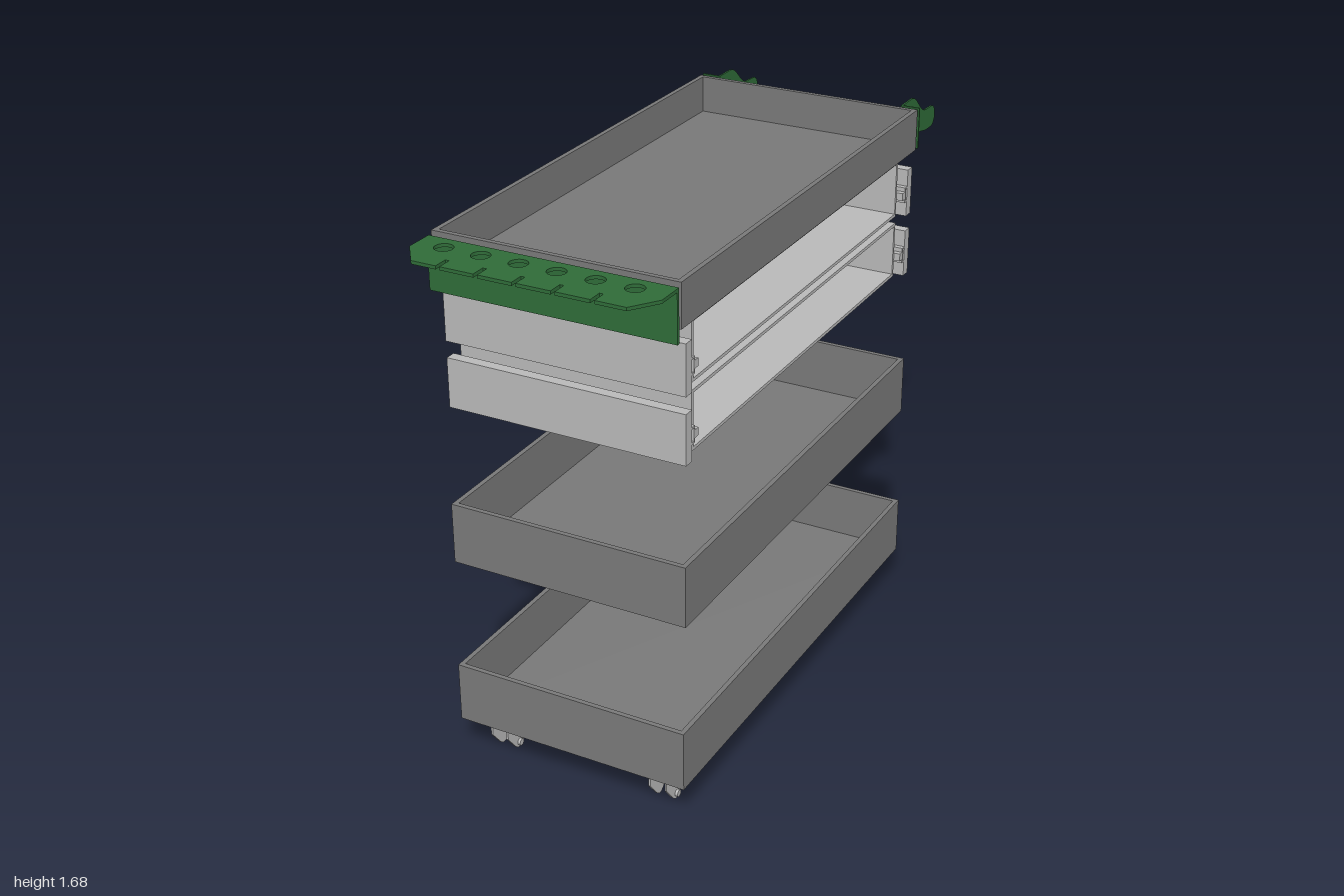
import * as THREE from 'three';

const mat = (name, color) => {
  const m = new THREE.MeshStandardMaterial({ color });
  m.name = name;
  return m;
};

export function createModel() {
  const root = new THREE.Group();
  const darkGrey = mat('darkGreySteel', 0x787878);
  const lightGrey = mat('lightGreySteel', 0xb8b8b8);
  const green = mat('greenSteel', 0x2f6b38);

  const add = (parent, name, geo, material) => {
    const mesh = new THREE.Mesh(geo, material);
    mesh.name = name;
    parent.add(mesh);
    return mesh;
  };
  const group = (name, parent = root) => {
    const g = new THREE.Group();
    g.name = name;
    parent.add(g);
    return g;
  };
  // Box given by its lower and upper corner
  const block = (parent, name, x0, x1, y0, y1, z0, z1, material) =>
    add(parent, name, new THREE.BoxGeometry(x1 - x0, y1 - y0, z1 - z0), material)
      .position.set((x0 + x1) / 2, (y0 + y1) / 2, (z0 + z1) / 2);
  // Plate with a side outline of [z, y] points, spanning x to x + t
  const sidePlate = (parent, name, outline, x, t, material) => {
    const geo = new THREE.ExtrudeGeometry(outline, { depth: t, bevelEnabled: false, curveSegments: 8 });
    geo.rotateY(-Math.PI / 2).translate(x + t, 0, 0);
    return add(parent, name, geo, material);
  };

  // Open trays
  const X0 = -0.38, X1 = 0.375, W = 0.015;
  const tray = (name, y0, y1, z0, z1) => {
    const g = group(name);
    block(g, 'floor', X0, X1, y0, y0 + W, z0, z1, darkGrey);
    block(g, 'rightWall', X0, X0 + W, y0 + W, y1, z0, z1, darkGrey);
    block(g, 'leftWall', X1 - W, X1, y0 + W, y1, z0, z1, darkGrey);
    block(g, 'frontWall', X0 + W, X1 - W, y0 + W, y1, z1 - W, z1, darkGrey);
    block(g, 'backWall', X0 + W, X1 - W, y0 + W, y1, z0, z0 + W, darkGrey);
  };
  tray('bottomTray', 0.125, 0.315, -0.71, 0.82);
  tray('middleTray', 0.66, 0.85, -0.695, 0.805);
  tray('topTray', 1.56, 1.69, -0.71, 0.82);

  // Drawer boxes open toward +x, each with a panel and rail at both ends
  for (const [name, y0, y1] of [['lowerDrawer', 1.165, 1.345], ['upperDrawer', 1.367, 1.55]]) {
    const g = group(name);
    const a = -0.37, b = 0.355, t = 0.01, z0 = -0.62, z1 = 0.73;
    block(g, 'sideWall', a, a + t, y0, y1, z0, z1, lightGrey);
    block(g, 'floor', a + t, b, y0, y0 + t, z0, z1, lightGrey);
    block(g, 'ceiling', a + t, b, y1 - t, y1, z0, z1, lightGrey);
    block(g, 'frontEnd', a + t, b, y0 + t, y1 - t, z1 - t, z1, lightGrey);
    block(g, 'backEnd', a + t, b, y0 + t, y1 - t, z0, z0 + t, lightGrey);
    const yc = y0 + 0.066;
    for (const [end, face, s] of [['front', z1, 1], ['back', z0, -1]]) {
      const span = (part, p, q, lo, hi) => {
        const u = face + s * p, v = face + s * q;
        block(g, end + part, -0.37, 0.375, lo, hi, Math.min(u, v), Math.max(u, v), lightGrey);
      };
      span('Panel', 0.035, 0.068, y0 - 0.008, y0 + 0.144);
      span('RailWeb', 0.018, 0.024, yc - 0.025, yc + 0.025);
      span('RailTop', 0.018, 0.035, yc + 0.02, yc + 0.025);
      span('RailBottom', 0.018, 0.035, yc - 0.025, yc - 0.02);
      span('RailSpacer', 0, 0.018, yc - 0.012, yc + 0.012);
    }
  }

  // Front tool rack: upright plate and toothed, drilled shelf
  const rack = group('toolRack');
  block(rack, 'rackUpright', X0, X1, 1.525, 1.67, 0.832, 0.842, green);
  const shelf = new THREE.Shape();
  shelf.moveTo(X0, 0.832);
  shelf.lineTo(X1, 0.832);
  shelf.lineTo(X1, 0.92);
  shelf.lineTo(0.32, 1.0);
  for (let i = 4; i >= 0; i--) {
    const c = -0.2375 + i * 0.115;
    shelf.lineTo(c + 0.006, 1.0);
    shelf.lineTo(c + 0.006, 0.955);
    shelf.lineTo(c - 0.006, 0.955);
    shelf.lineTo(c - 0.006, 1.0);
  }
  shelf.lineTo(-0.32, 1.0);
  shelf.lineTo(X0, 0.92);
  shelf.closePath();
  for (let i = 0; i < 6; i++) {
    const hole = new THREE.Path();
    hole.absarc(-0.295 + i * 0.115, 0.886, 0.027, 0, Math.PI * 2, true);
    shelf.holes.push(hole);
  }
  const shelfGeo = new THREE.ExtrudeGeometry(shelf, { depth: 0.01, bevelEnabled: false, curveSegments: 16 });
  shelfGeo.rotateX(Math.PI / 2);
  add(rack, 'rackShelf', shelfGeo, green).position.y = 1.68;

  // Rear handles: curved arm plates with mounting flanges
  const arm = new THREE.Shape();
  arm.moveTo(-0.725, 1.56);
  arm.lineTo(-0.725, 1.69);
  arm.lineTo(-0.805, 1.69);
  arm.bezierCurveTo(-0.85, 1.685, -0.87, 1.625, -0.92, 1.62);
  arm.lineTo(-0.975, 1.618);
  arm.bezierCurveTo(-1.008, 1.61, -1.008, 1.555, -0.975, 1.55);
  arm.lineTo(-0.935, 1.55);
  arm.bezierCurveTo(-0.91, 1.55, -0.9, 1.56, -0.86, 1.56);
  arm.closePath();
  for (const [name, x, f0, f1] of [['leftHandle', 0.313, 0.313, 0.375], ['rightHandle', -0.325, -0.38, -0.319]]) {
    const g = group(name);
    sidePlate(g, 'handleArm', arm, x, 0.006, green);
    block(g, 'handleFlange', f0, f1, 1.56, 1.69, -0.731, -0.724, green);
  }

  // Caster forks: tapered cheeks, top plate, axle bolts; rear ones have a brake pedal
  const cheek = new THREE.Shape();
  cheek.moveTo(-0.06, 0.11);
  cheek.lineTo(-0.06, 0.07);
  cheek.lineTo(-0.022, 0.022);
  cheek.quadraticCurveTo(0, -0.004, 0.022, 0.022);
  cheek.lineTo(0.06, 0.07);
  cheek.lineTo(0.06, 0.11);
  cheek.closePath();
  for (const sx of [1, -1]) {
    for (const [end, z] of [['front', 0.725], ['rear', -0.635]]) {
      const g = group(end + (sx > 0 ? 'Left' : 'Right') + 'Caster');
      g.position.set(sx * 0.27, 0, z);
      for (const s of [1, -1]) {
        sidePlate(g, 'forkCheek', cheek, s * 0.027 - 0.003, 0.006, lightGrey);
        const bolt = add(g, 'axleBolt', new THREE.CylinderGeometry(0.011, 0.011, 0.009, 12), lightGrey);
        bolt.rotation.z = Math.PI / 2;
        bolt.position.set(s * 0.034, 0.027, 0);
      }
      block(g, 'forkTop', -0.024, 0.024, 0.1, 0.11, -0.06, 0.06, lightGrey);
      if (end === 'rear') {
        block(g, 'brakePedal', -0.024, 0.024, 0.016, 0.023, -0.07, 0.05, lightGrey);
        const lever = add(g, 'brakeLever', new THREE.BoxGeometry(0.04, 0.085, 0.008), lightGrey);
        lever.position.set(0, 0.06, -0.035);
        lever.rotation.x = -0.45;
      }
    }
  }
  return root;
}
